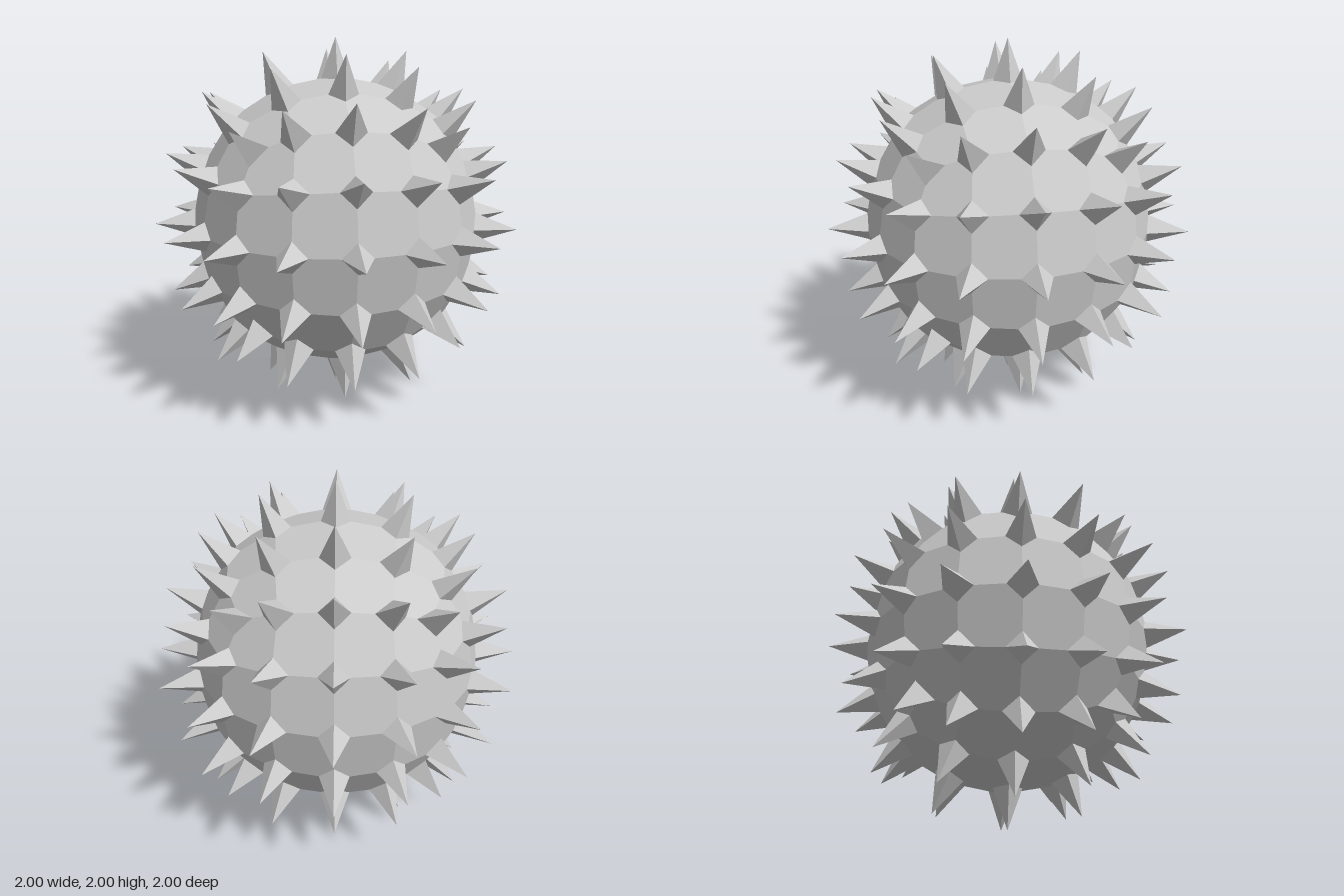
import * as THREE from 'three';

const BODY_SCALE = 0.795; // body radius relative to the spike tips
const BASE = 0.08;        // distance from a grid point to its spike's base corners

// Spike tips on one patch of a 4 x 4 cube sphere, by |column| >= |row|
const TIPS = [
  [[0, 0, 1]],
  [[0.39, 0, 0.923], [0.37, 0.37, 0.858]],
  [[0.717, 0, 0.717], [0.685, 0.337, 0.685], [0.58, 0.58, 0.58]],
];

function tipAt(i, j) {
  const a = Math.abs(i), b = Math.abs(j);
  const t = TIPS[Math.max(a, b)][Math.min(a, b)];
  const [x, y] = a >= b ? [t[0], t[1]] : [t[1], t[0]];
  return [x * Math.sign(i), y * Math.sign(j), t[2]];
}

// Turn a point of the front patch onto one of the six sides
function toSide([x, y, z], axis, sign) {
  const p = [x * sign, y, z * sign];
  return new THREE.Vector3(p[axis], p[(axis + 1) % 3], p[(axis + 2) % 3]);
}

// One mesh from polygons, each with a single flat normal
function polygonMesh(name, polygons) {
  const positions = [], normals = [];
  for (const poly of polygons) {
    const normal = new THREE.Vector3();
    poly.forEach((p, k) => normal.add(p.clone().cross(poly[(k + 1) % poly.length])));
    normal.normalize();
    const centre = new THREE.Vector3();
    poly.forEach((p) => centre.addScaledVector(p, 1 / poly.length));
    const triangles = poly.length === 3 ? [poly]
      : poly.map((p, k) => [centre, p, poly[(k + 1) % poly.length]]);
    for (const p of triangles.flat()) {
      positions.push(p.x, p.y, p.z);
      normals.push(normal.x, normal.y, normal.z);
    }
  }
  const geometry = new THREE.BufferGeometry();
  geometry.setAttribute('position', new THREE.Float32BufferAttribute(positions, 3));
  geometry.setAttribute('normal', new THREE.Float32BufferAttribute(normals, 3));
  geometry.translate(0, 1, 0);
  const mesh = new THREE.Mesh(geometry, new THREE.MeshStandardMaterial({ color: 0xcccccc }));
  mesh.name = name;
  return mesh;
}

export function createModel() {
  const plates = [], spikeSides = [];

  for (let axis = 0; axis < 3; axis++) for (const sign of [1, -1])
    for (let i = -2; i < 2; i++) for (let j = -2; j < 2; j++) {
      const tips = [[i, j], [i + 1, j], [i + 1, j + 1], [i, j + 1]]
        .map(([u, v]) => toSide(tipAt(u, v), axis, sign));
      const corners = tips.map((t) => t.clone().multiplyScalar(BODY_SCALE));
      const cut = (p, q) => p.clone().addScaledVector(q.clone().sub(p).normalize(), BASE);

      // Eight-sided plate: every corner is cut off, and a spike side rises from the cut
      const plate = [];
      corners.forEach((p, k) => {
        const before = cut(p, corners[(k + 3) % 4]);
        const after = cut(p, corners[(k + 1) % 4]);
        plate.push(before, after);
        spikeSides.push([after, before, tips[k]]);
      });
      plates.push(plate);
    }

  const model = new THREE.Group();
  model.name = 'spikedBall';
  model.add(polygonMesh('body', plates), polygonMesh('spikes', spikeSides));
  return model;
}
